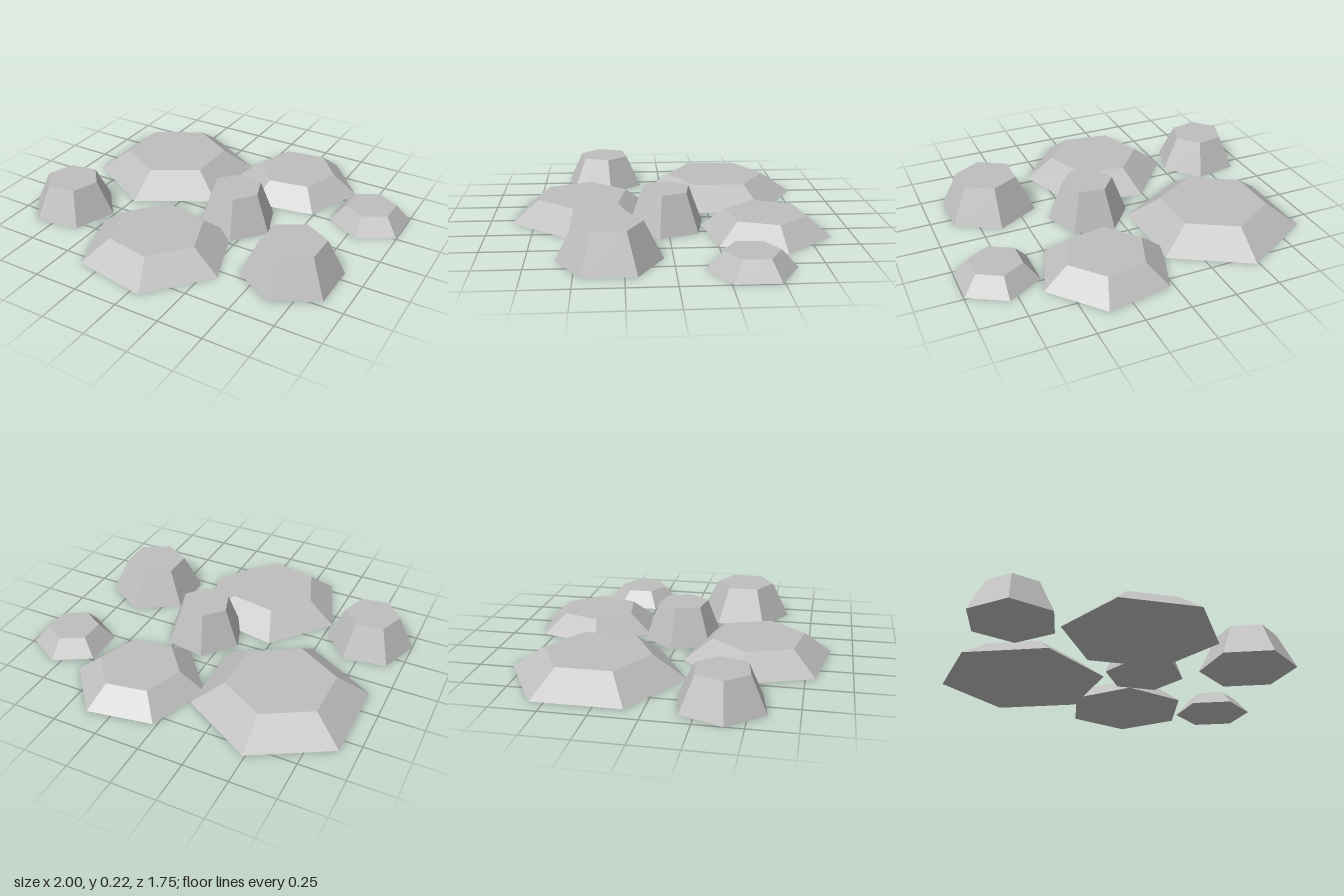
import * as THREE from 'three';

// Each stone: name, centre x, centre z, base radius, top radius, height, turn in degrees
const STONES = [
  ['broadBackStone', -0.487, -0.337, 0.48, 0.297, 0.125, 0],
  ['backStone', 0.258, -0.532, 0.366, 0.228, 0.108, -20],
  ['smallSideStone', 0.797, -0.374, 0.23, 0.144, 0.095, 0],
  ['middleStone', 0.137, 0.014, 0.229, 0.145, 0.218, 20],
  ['broadFrontStone', -0.094, 0.478, 0.425, 0.265, 0.12, 20],
  ['tallRightStone', -0.757, 0.361, 0.247, 0.155, 0.19, -20],
  ['tallLeftStone', 0.639, 0.324, 0.276, 0.174, 0.204, 0],
];

export function createModel() {
  const group = new THREE.Group();
  group.name = 'steppingStones';

  const stone = new THREE.MeshStandardMaterial({ color: 0xbebebe, flatShading: true });
  stone.name = 'stoneGrey';

  // Tapered six-sided blocks standing on the ground
  for (const [name, x, z, base, top, height, turn] of STONES) {
    const mesh = new THREE.Mesh(new THREE.CylinderGeometry(top, base, height, 6), stone);
    mesh.name = name;
    mesh.position.set(x, height / 2, z);
    mesh.rotation.y = THREE.MathUtils.degToRad(turn);
    group.add(mesh);
  }
  return group;
}
